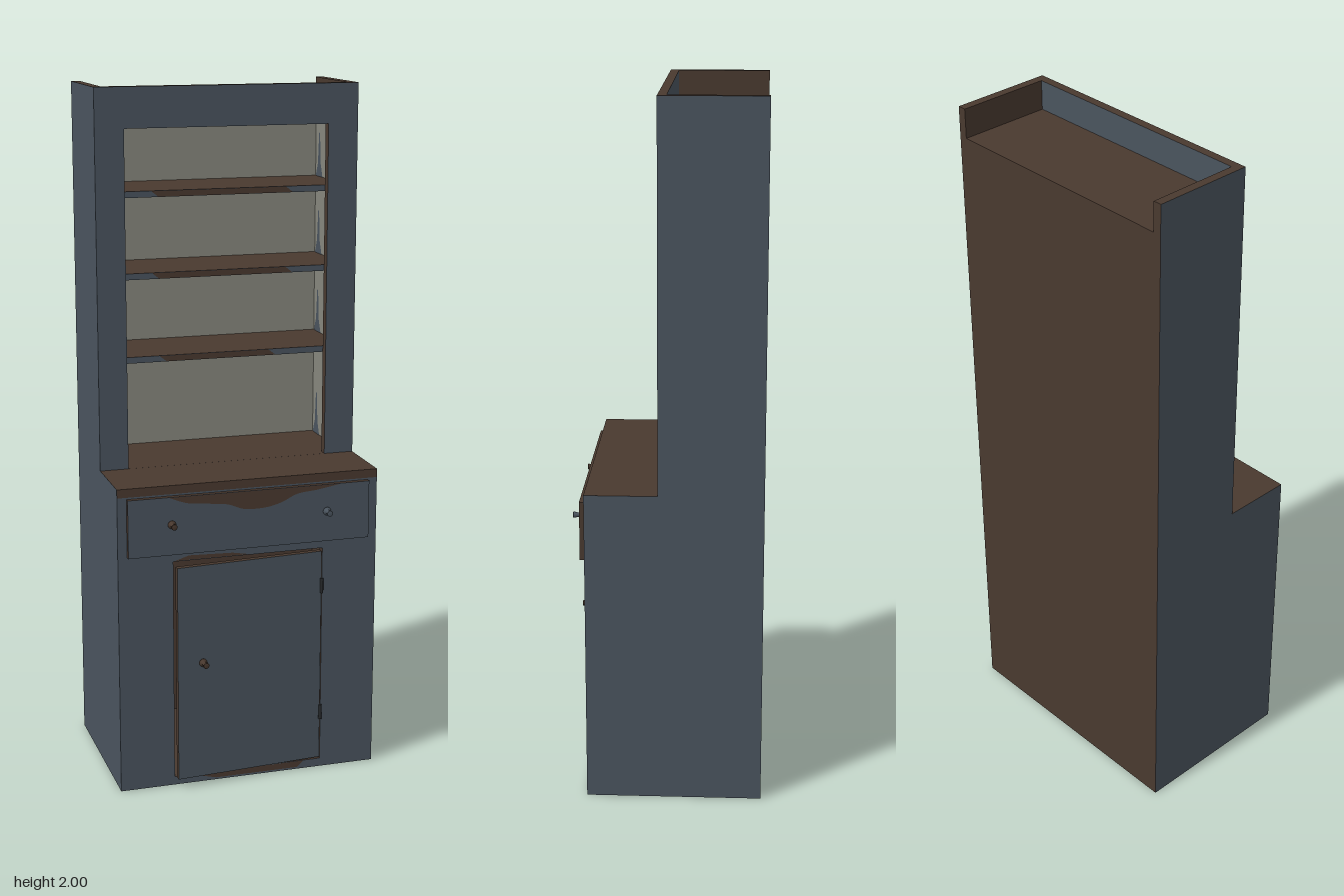
import * as THREE from 'three';

const mat = (name, color, side = THREE.FrontSide) => {
  const m = new THREE.MeshStandardMaterial({ color, side });
  m.name = name;
  return m;
};

export function createModel() {
  const blue = mat('blue paint', 0x4a545e);
  const brown = mat('dark wood', 0x49392f);
  const cream = mat('cream lining', 0x87877d);
  const iron = mat('dark iron', 0x26282a);

  const root = new THREE.Group();
  root.name = 'hutch';

  const add = (name, geo, material, parent = root) => {
    const mesh = new THREE.Mesh(geo, material);
    mesh.name = name;
    parent.add(mesh);
    return mesh;
  };
  // Box from minimum and maximum corners; material may be a six-face array
  const box = (name, [x0, y0, z0], [x1, y1, z1], material, parent = root) => {
    const mesh = add(name, new THREE.BoxGeometry(x1 - x0, y1 - y0, z1 - z0), material, parent);
    mesh.position.set((x0 + x1) / 2, (y0 + y1) / 2, (z0 + z1) / 2);
    return mesh;
  };
  const frontPaint = [brown, brown, brown, brown, blue, brown];

  // Panel with a rectangular opening, painted on the front only
  const framePanel = (name, [x0, y0, x1, y1], [a0, b0, a1, b1], z0, z1) => {
    const rect = (path, l, b, r, t) =>
      path.moveTo(l, b).lineTo(r, b).lineTo(r, t).lineTo(l, t).closePath();
    const shape = rect(new THREE.Shape(), x0, y0, x1, y1);
    shape.holes.push(rect(new THREE.Path(), a0, b0, a1, b1));
    const geo = new THREE.ExtrudeGeometry(shape, { depth: z1 - z0, bevelEnabled: false });
    add(name, geo, [blue, brown]).position.z = z0;
  };

  // Stepped side panels, painted outside, with cream lining in the display part
  for (const s of [-1, 1]) {
    const side = new THREE.Group();
    side.name = s > 0 ? 'leftSide' : 'rightSide';
    root.add(side);
    const x0 = s > 0 ? 0.362 : -0.387, x1 = s > 0 ? 0.387 : -0.362;
    const paint = [s > 0 ? blue : brown, s < 0 ? blue : brown, brown, brown, blue, brown];
    box('lowerSide', [x0, 0, -0.28], [x1, 0.885, 0.22], paint, side);
    box('upperSide', [x0, 0.885, -0.28], [x1, 2, 0.015], paint, side);
    const l0 = s > 0 ? 0.358 : -0.362;
    box('sideLining', [l0, 0.91, -0.265], [l0 + 0.004, 1.89, -0.01], cream, side);
  }

  // Back, top and floor
  box('backPanel', [-0.362, 0, -0.28], [0.362, 1.89, -0.265], brown);
  box('backLining', [-0.358, 0.91, -0.265], [0.358, 1.89, -0.261], cream);
  box('topBoard', [-0.362, 1.89, -0.28], [0.362, 1.915, -0.01], brown);
  box('floorBoard', [-0.362, 0.004, -0.265], [0.362, 0.025, 0.195], brown);

  // Counter: wide front ledge and the part between the upper sides
  box('counterFront', [-0.387, 0.885, 0.015], [0.387, 0.91, 0.22],
    [blue, blue, brown, brown, brown, brown]);
  box('counterBack', [-0.362, 0.885, -0.265], [0.362, 0.91, 0.015], brown);

  // Face frames
  framePanel('upperFrame', [-0.362, 0.91, 0.362, 2], [-0.303, 0.9101, 0.298, 1.885], -0.01, 0.015);
  framePanel('lowerFrame', [-0.362, 0, 0.362, 0.885], [-0.226, 0.025, 0.222, 0.685], 0.195, 0.22);

  // Paint patch in a front-facing plane
  const patch = (name, pts, z, material, parent = root) => {
    const shape = new THREE.Shape(pts.map(([x, y]) => new THREE.Vector2(x, y)));
    const mesh = add(name, new THREE.ShapeGeometry(shape), material, parent);
    mesh.position.z = z;
    return mesh;
  };

  // Shelves with worn front edges, and bare paint in the rear corners
  for (const [y, w0, w1] of [[1.233, -0.18, 0.15], [1.475, -0.2, 0.2], [1.708, -0.2, 0.2]]) {
    box('shelf', [-0.358, y - 0.018, -0.261], [0.358, y, -0.012], frontPaint);
    patch('shelfWear', [[w0, y - 0.017], [w1, y - 0.017], [w1 - 0.02, y - 0.001], [w0 - 0.02, y - 0.001]],
      -0.0105, brown);
  }
  for (const y of [0.91, 1.233, 1.475, 1.708]) {
    for (const s of [-1, 1]) {
      const pts = [[-0.03, 0], [0.03, 0], [0.012, 0.04], [0.004, 0.13], [-0.004, 0.13], [-0.012, 0.04]];
      const mesh = patch('cornerWear', pts, -0.225, blue);
      mesh.rotation.y = -s * Math.PI / 2;
      mesh.position.x = s * 0.3565;
      mesh.position.y = y;
    }
  }

  // Drawer front with a scalloped worn area
  box('drawerFront', [-0.36, 0.71, 0.2201], [0.358, 0.88, 0.235], frontPaint);
  const wear = new THREE.Shape();
  wear.moveTo(-0.24, 0.879);
  wear.splineThru([[-0.19, 0.86], [-0.13, 0.853], [-0.07, 0.846], [-0.02, 0.828], [0.04, 0.827],
    [0.09, 0.838], [0.14, 0.86], [0.2, 0.867], [0.27, 0.879]].map(([x, y]) => new THREE.Vector2(x, y)));
  wear.closePath();
  add('drawerWear', new THREE.ShapeGeometry(wear, 5), brown).position.z = 0.2358;

  // Worn rails above and below the door
  patch('railWear', [[-0.22, 0.687], [0, 0.687], [-0.05, 0.696], [-0.18, 0.7]], 0.2208, brown);
  patch('baseWear', [[-0.1, 0.006], [0.15, 0.006], [0.17, 0.024], [-0.17, 0.024]], 0.2208, brown);

  // Door standing slightly open on its hinges
  const door = new THREE.Group();
  door.name = 'door';
  door.position.set(0.22, 0, 0.22);
  door.rotation.y = 0.075;
  root.add(door);
  box('doorPanel', [-0.444, 0.03, -0.017], [0, 0.675, 0], frontPaint, door);
  for (const y of [0.175, 0.57]) {
    const hinge = add('hinge', new THREE.CylinderGeometry(0.005, 0.005, 0.045, 10), iron);
    hinge.position.set(0.221, y, 0.221);
  }

  // Turned knobs
  const profile = [[0, 0], [0.012, 0], [0.012, 0.003], [0.006, 0.008], [0.006, 0.013],
    [0.009, 0.028], [0.008, 0.03], [0, 0.03]].map(([r, y]) => new THREE.Vector2(r, y));
  const knobGeo = new THREE.LatheGeometry(profile, 16).rotateX(Math.PI / 2);
  const knob = (name, x, y, z, material, parent = root) =>
    add(name, knobGeo, material, parent).position.set(x, y, z);
  knob('drawerKnobRight', -0.233, 0.8, 0.235, brown);
  knob('drawerKnobLeft', 0.229, 0.8, 0.235, blue);
  knob('doorKnob', -0.368, 0.382, 0, brown, door);

  return root;
}
